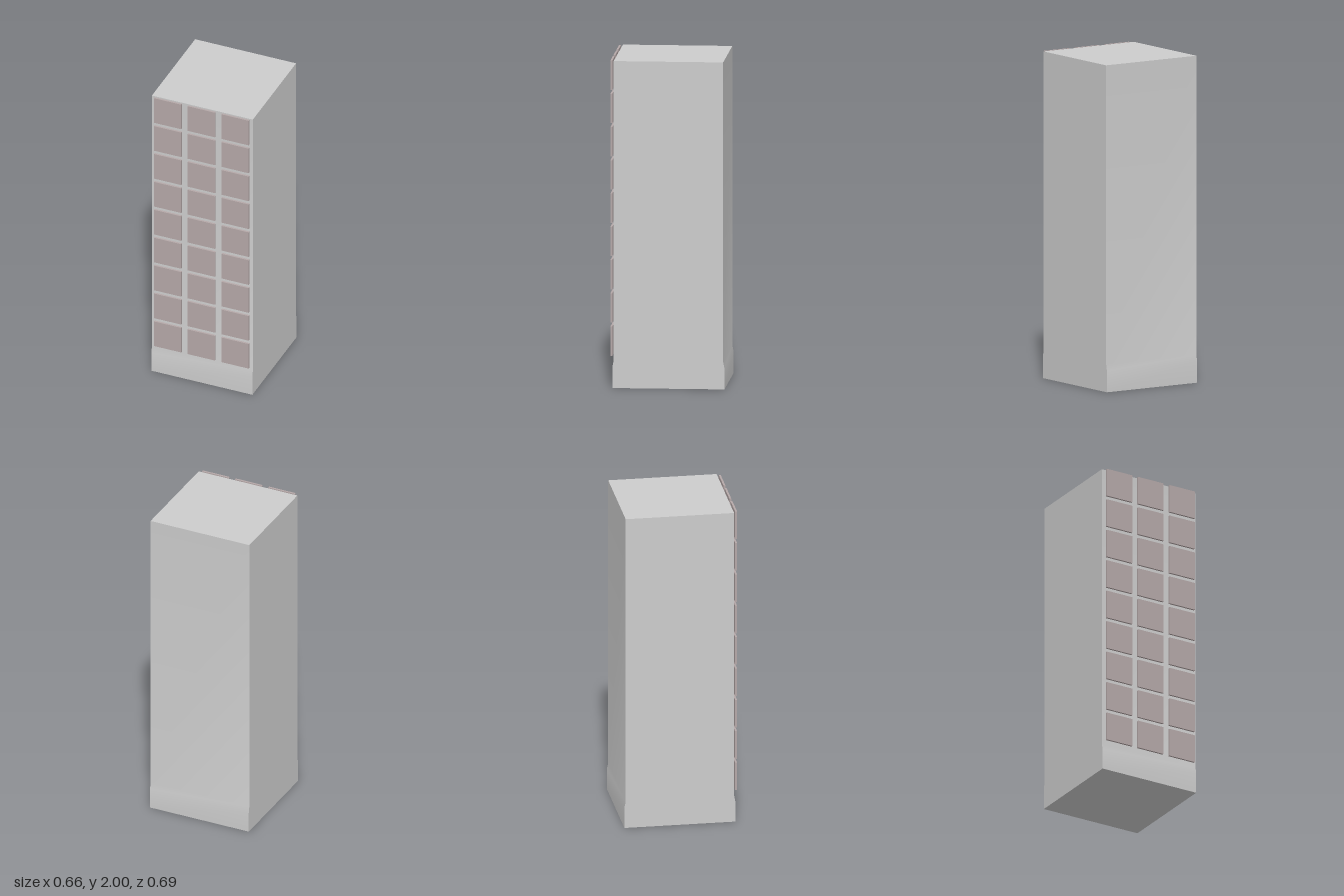
import * as THREE from 'three';
import { toCreasedNormals } from 'three/addons/utils/BufferGeometryUtils.js';

const WIDTH = 0.664;
const ROWS = 9;

export function createModel() {
  const model = new THREE.Group();
  model.name = 'towerBlock';

  const wall = new THREE.MeshStandardMaterial({ color: 0xcccccc });
  wall.name = 'light grey wall';
  const pane = new THREE.MeshStandardMaterial({ color: 0xb5a8a8 });
  pane.name = 'dusty rose panel';

  // Body: side profile (z, y) with a slightly flared foot, swept across the width
  const profile = new THREE.Shape([
    [-0.347, 0], [0.333, 0], [0.333, 0.13], [0.325, 0.17], [0.325, 2],
    [-0.339, 2], [-0.339, 0.17], [-0.347, 0.13],
  ].map(([z, y]) => new THREE.Vector2(-z, y)));
  const bodyGeometry = new THREE.ExtrudeGeometry(profile, { depth: WIDTH, bevelEnabled: false });
  bodyGeometry.translate(0, 0, -WIDTH / 2);
  bodyGeometry.rotateY(Math.PI / 2); // profile -z to world z, sweep along x
  const body = new THREE.Mesh(toCreasedNormals(bodyGeometry, 0.5), wall);
  body.name = 'body';
  model.add(body);

  // Facade panels: three columns standing just off the front wall
  const panels = new THREE.Group();
  panels.name = 'facadePanels';
  const panelGeometry = new THREE.BoxGeometry(0.18, 0.179, 0.012);
  for (let row = 0; row < ROWS; row++) {
    for (let col = -1; col <= 1; col++) {
      const panel = new THREE.Mesh(panelGeometry, pane);
      panel.name = `panelRow${row + 1}Column${col + 2}`;
      panel.position.set(0.002 + col * 0.222, 0.284 + row * 0.2033, 0.341);
      panels.add(panel);
    }
  }
  model.add(panels);
  return model;
}
